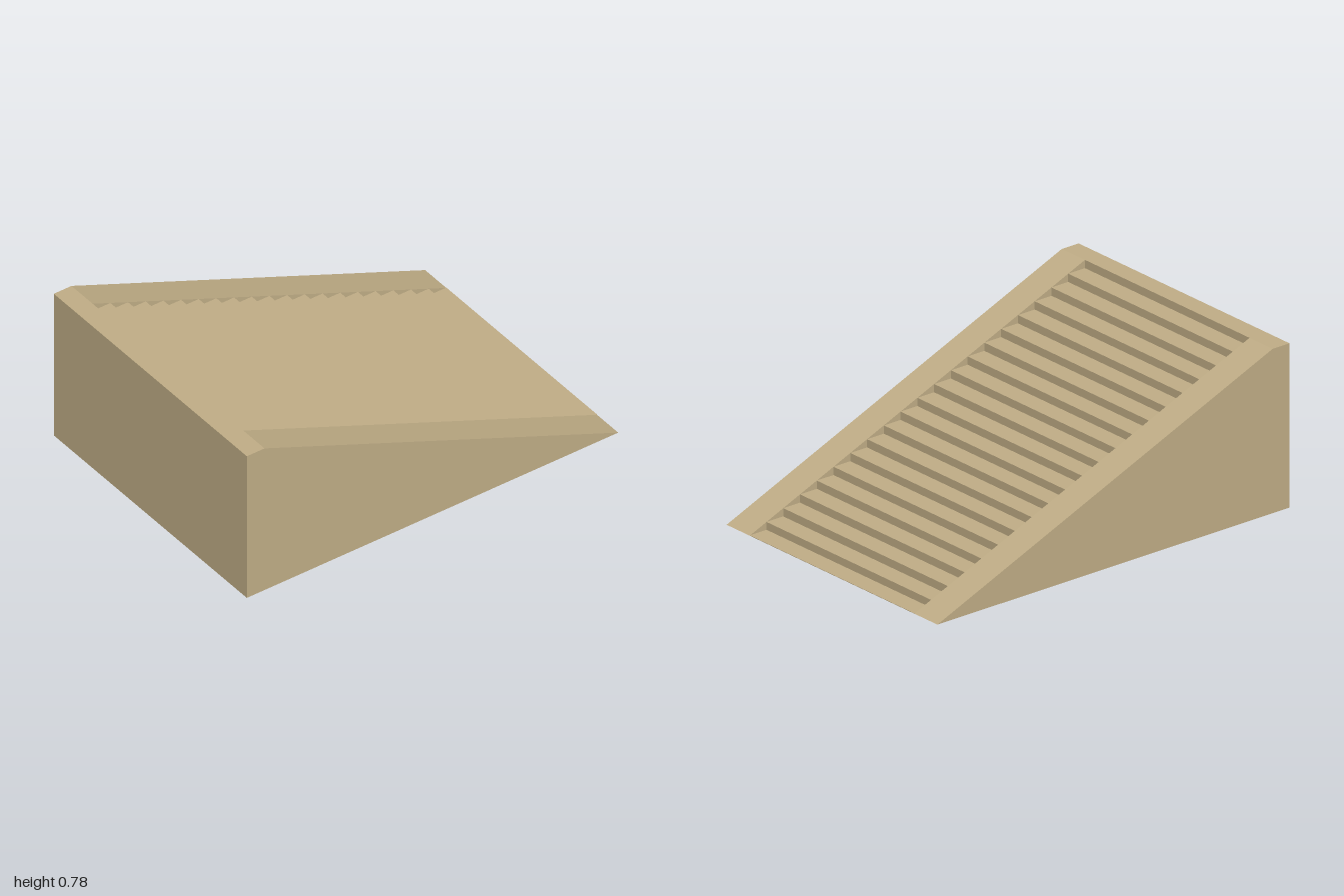
import * as THREE from 'three';

const HEIGHT = 0.78, HALF_WIDTH = 0.715, HALF_STAIR = 0.558;
const STEPS = 20, RUN = 2 / 21, RISE = HEIGHT / STEPS;

// Extrude a side profile, given as [z, y] points, from x0 to x1
function extrudeAcross(points, x0, x1, material, name) {
  const shape = new THREE.Shape(points.map(([z, y]) => new THREE.Vector2(-z, y)));
  const geometry = new THREE.ExtrudeGeometry(shape, { depth: x1 - x0, bevelEnabled: false });
  geometry.rotateY(Math.PI / 2).translate(x0, 0, 0);
  const mesh = new THREE.Mesh(geometry, material);
  mesh.name = name;
  return mesh;
}

export function createModel() {
  const group = new THREE.Group();
  group.name = 'staircase';
  const stone = new THREE.MeshStandardMaterial({ color: 0xc0ad86 });
  stone.name = 'sandstone';

  // Sloping side walls with a short flat top
  const wall = [[1, 0], [-1, 0], [1 - RUN, HEIGHT], [1, HEIGHT]];
  group.add(extrudeAcross(wall, HALF_STAIR, HALF_WIDTH, stone, 'leftWall'));
  group.add(extrudeAcross(wall, -HALF_WIDTH, -HALF_STAIR, stone, 'rightWall'));

  // Steps whose nosings touch the slope of the walls, ending in the landing
  const steps = [[1, 0], [-1 + RUN, 0]];
  for (let i = 1; i <= STEPS; i++) {
    steps.push([-1 + i * RUN, i * RISE], [-1 + (i + 1) * RUN, i * RISE]);
  }
  group.add(extrudeAcross(steps, -HALF_STAIR, HALF_STAIR, stone, 'steps'));

  // Thin ground-level tread at the foot of the stairs
  const foot = new THREE.Mesh(new THREE.BoxGeometry(HALF_STAIR * 2, 0.002, RUN), stone);
  foot.position.set(0, 0.001, -1 + RUN / 2);
  foot.name = 'footTread';
  group.add(foot);

  return group;
}
